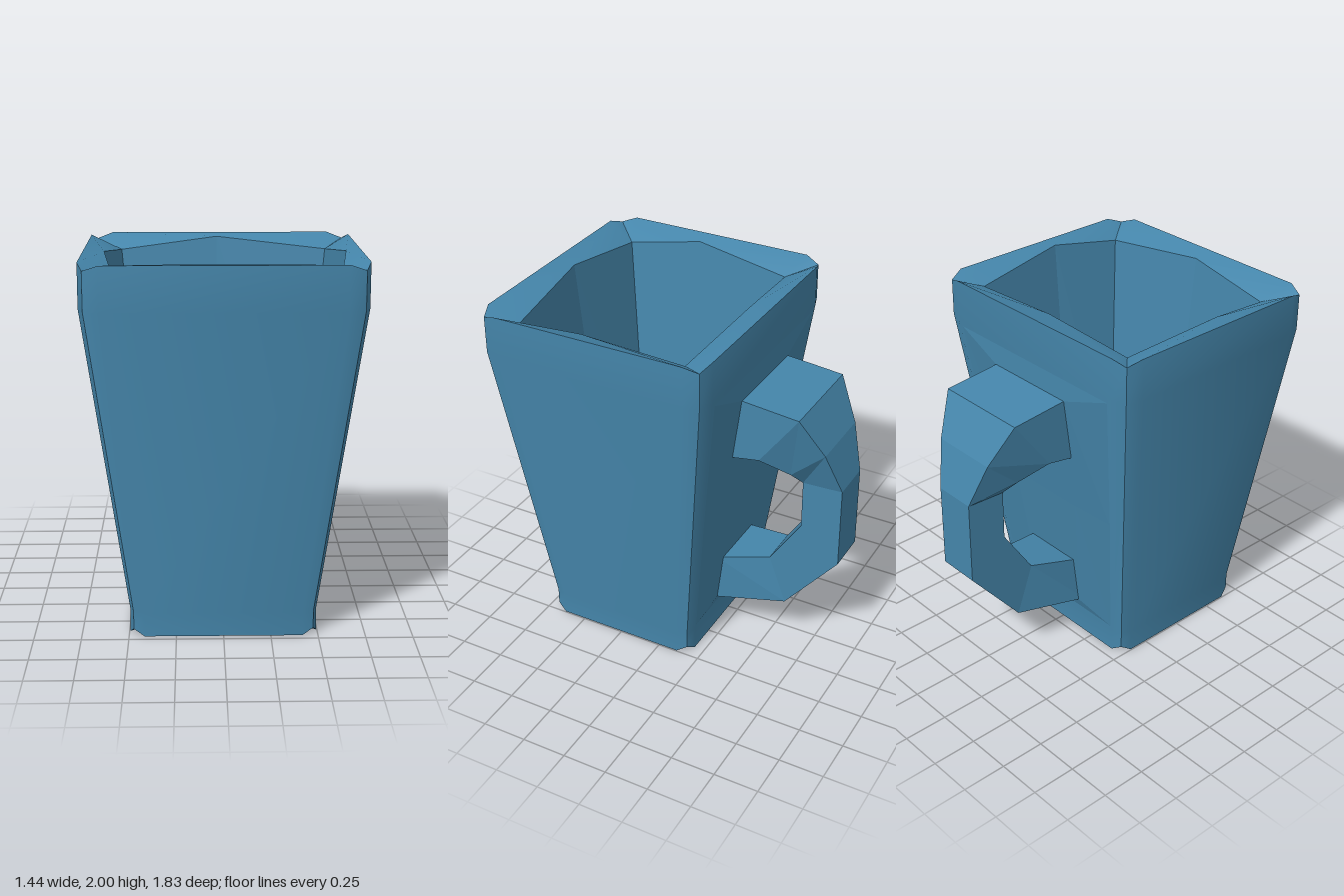
import * as THREE from 'three';
import { toCreasedNormals } from 'three/addons/utils/BufferGeometryUtils.js';

const COLOR = 0x4586ab;

// Triangle soup from a list of [x, y, z] corners
function soup(corners) {
  const geo = new THREE.BufferGeometry();
  geo.setAttribute('position', new THREE.Float32BufferAttribute(corners.flat(), 3));
  geo.computeVertexNormals();
  return geo;
}

// Skin between successive closed rings
function loft(rings) {
  const out = [];
  for (let i = 0; i < rings.length - 1; i++) {
    const lo = rings[i], hi = rings[i + 1], n = lo.length;
    for (let j = 0; j < n; j++) {
      const k = (j + 1) % n;
      out.push(lo[j], lo[k], hi[k], lo[j], hi[k], hi[j]);
    }
  }
  return out;
}

// Close a ring with triangles meeting at a centre point
const fan = (ring, centre) => ring.flatMap((p, i) => [p, ring[(i + 1) % ring.length], centre]);
// Reverse the facing of every triangle
const flip = (tris) => tris.slice().reverse();

// Square ring with three points per corner; tipShift moves the corner tip in y
function squareRing(y, hx, hz, tipShift = 0) {
  const c = 0.155 * hx, t = 0.04 * hx, ring = [];
  for (const [sx, sz] of [[1, -1], [-1, -1], [-1, 1], [1, 1]]) {
    const side = [sx * hx, y, 0.26 + sz * (hz - c)];
    const tip = [sx * (hx - t), y + tipShift, 0.26 + sz * (hz - t)];
    const face = [sx * (hx - c), y, 0.26 + sz * hz];
    ring.push(...(sx * sz < 0 ? [side, tip, face] : [face, tip, side]));
  }
  return ring;
}

// Rim from the outer ring to an opening listed as corner, middle, corner, middle...
function rim(outer, opening) {
  const out = [];
  for (let k = 0; k < 4; k++) {
    const [a, tip, b] = outer.slice(3 * k, 3 * k + 3);
    const next = outer[(3 * k + 3) % 12];
    const corner = opening[2 * k], mid = opening[2 * k + 1], nextCorner = opening[(2 * k + 2) % 8];
    out.push(a, tip, corner, tip, b, corner, b, mid, corner, b, next, mid, next, nextCorner, mid);
  }
  return out;
}

export function createModel() {
  const group = new THREE.Group();
  group.name = 'mug';
  const smooth = new THREE.MeshStandardMaterial({ color: COLOR });
  const flat = new THREE.MeshStandardMaterial({ color: COLOR, flatShading: true });
  const add = (name, geo, mat) => {
    const mesh = new THREE.Mesh(geo, mat);
    mesh.name = name;
    group.add(mesh);
  };

  // Cavity outlines, counter-clockwise from above; the opening dips at its corners
  const opening = [[0.585, -0.23], [-0.02, -0.28], [-0.55, -0.23], [-0.615, 0.33],
    [-0.55, 0.74], [-0.02, 0.79], [0.585, 0.74], [0.645, 0.33]]
    .map(([x, z], i) => [x, i % 2 ? 1.99 : 1.925, z]);
  const floor = [[0.45, -0.09], [-0.02, -0.09], [-0.42, -0.09], [-0.465, 0.31],
    [-0.42, 0.6], [-0.02, 0.635], [0.45, 0.6], [0.495, 0.31]].map(([x, z]) => [x, 0.45, z]);

  // Outer walls, base and rim
  const walls = [
    squareRing(0, 0.495, 0.45, 0.035),
    squareRing(0.13, 0.495, 0.45),
    squareRing(1.77, 0.72, 0.655),
    squareRing(2, 0.72, 0.655, -0.03),
  ];
  add('body', toCreasedNormals(soup([
    ...loft(walls),
    ...flip(fan(walls[0], [0, 0, 0.26])),
    ...rim(walls[3], opening),
  ]), Math.PI / 6), smooth);

  // Inner walls and floor
  add('cavity', soup([...flip(loft([floor, opening])), ...fan(floor, [0, 0.45, 0.26])]), flat);

  // Slightly raised panel on the back wall that carries the handle
  const panelEdge = [[0.58, 1.74], [0.5, 0.93], [0.41, 0.16], [-0.41, 0.16], [-0.5, 0.93], [-0.58, 1.74]]
    .map(([x, y]) => [x, y, -0.19 - 0.125 * (y - 0.13)]);
  const panelFace = [[0.29, 1.62, -0.397], [0.265, 0.93, -0.303], [0.2, 0.22, -0.215],
    [-0.17, 0.22, -0.215], [-0.235, 0.93, -0.303], [-0.26, 1.62, -0.397]];
  add('handleMount', soup([...loft([panelEdge, panelFace]), ...fan(panelFace, [0.015, 0.93, -0.303])]), flat);

  // Handle stations: outer z, y, inner z, y, half width
  const stations = [
    [-0.35, 1.625, -0.30, 1.255, 0.275],
    [-0.72, 1.59, -0.50, 1.29, 0.275],
    [-0.84, 1.37, -0.65, 1.20, 0.195],
    [-0.915, 1.13, -0.69, 1.12, 0.12],
    [-0.915, 0.66, -0.69, 0.84, 0.12],
    [-0.61, 0.29, -0.51, 0.565, 0.12],
    [-0.18, 0.215, -0.21, 0.505, 0.185],
  ];
  const sections = stations.map(([oz, oy, iz, iy, w]) => [
    [0.015 - w, oy, oz], [0.015 + w, oy, oz], [0.015 + w, iy, iz], [0.015 - w, iy, iz],
  ]);
  add('handle', soup(loft(sections)), flat);
  return group;
}
